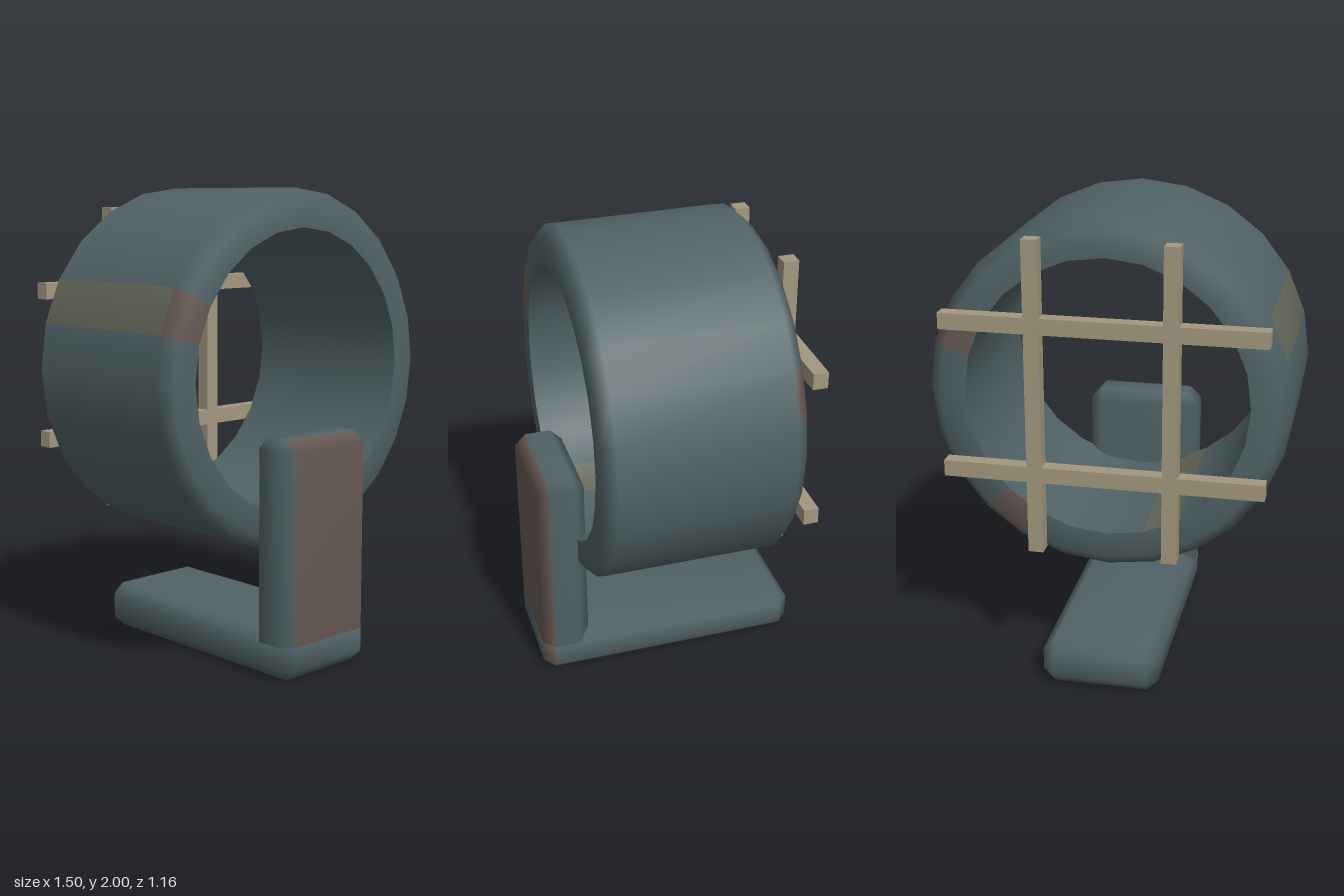
import * as THREE from 'three';

const material = (name, color) => Object.assign(new THREE.MeshStandardMaterial({ color }), { name });

// Smooth indexed mesh from points and faces; each face is { ids, mat }
function paintedMesh(name, points, faces, materials) {
  const geometry = new THREE.BufferGeometry();
  const index = [];
  materials.forEach((_, m) => {
    const start = index.length;
    for (const { ids, mat } of faces) {
      if (mat !== m) continue;
      for (let i = 1; i < ids.length - 1; i++) index.push(ids[0], ids[i], ids[i + 1]);
    }
    if (index.length > start) geometry.addGroup(start, index.length - start, m);
  });
  geometry.setAttribute('position', new THREE.Float32BufferAttribute(points.flatMap(p => p.toArray()), 3));
  geometry.setIndex(index);
  geometry.computeVertexNormals();
  const mesh = new THREE.Mesh(geometry, materials);
  mesh.name = name;
  return mesh;
}

// Box with every edge chamfered; paint(x, y, z) picks a material by face direction
function chamferedBox(name, size, chamfer, materials, paint) {
  const points = [], tags = [], faces = [];
  const signs = [-1, 1];
  for (const x of signs) for (const y of signs) for (const z of signs) for (let axis = 0; axis < 3; axis++) {
    const corner = [x, y, z];
    points.push(new THREE.Vector3(...corner.map((s, a) => s * (size[a] / 2 - (a === axis ? 0 : chamfer)))));
    tags.push({ corner, axis });
  }
  const steps = [-1, 0, 1];
  for (const x of steps) for (const y of steps) for (const z of steps) {
    const dir = [x, y, z];
    if (!x && !y && !z) continue;
    const ids = points.map((_, i) => i).filter(i =>
      dir[tags[i].axis] !== 0 && dir.every((d, a) => d === 0 || d === tags[i].corner[a]));
    // Sort the corners counter-clockwise around the face normal
    const normal = new THREE.Vector3(...dir).normalize();
    const centre = ids.reduce((sum, i) => sum.add(points[i]), new THREE.Vector3()).divideScalar(ids.length);
    const u = points[ids[0]].clone().sub(centre).projectOnPlane(normal).normalize();
    const v = normal.clone().cross(u);
    const angle = i => {
      const p = points[i].clone().sub(centre);
      return Math.atan2(p.dot(v), p.dot(u));
    };
    ids.sort((a, b) => angle(a) - angle(b));
    faces.push({ ids, mat: paint(x, y, z) });
  }
  return paintedMesh(name, points, faces, materials);
}

// Surface swept round the z axis from [radius, z] points; paint(band, segment) picks a material
function sweptRing(name, profile, segments, materials, paint) {
  const points = [], faces = [];
  profile.forEach(([r, z], i) => {
    for (let j = 0; j < segments; j++) {
      const a = j / segments * Math.PI * 2;
      points.push(new THREE.Vector3(r * Math.cos(a), r * Math.sin(a), z));
      const k = (j + 1) % segments, row = i * segments, next = row + segments;
      if (i < profile.length - 1) faces.push({ ids: [row + j, next + j, next + k, row + k], mat: paint(i, j) });
    }
  });
  return paintedMesh(name, points, faces, materials);
}

export function createModel() {
  const model = new THREE.Group();
  model.name = 'ringOnStand';
  const slate = material('slate', 0x506266);
  const brown = material('brown', 0x675954);
  const olive = material('olive', 0x636658);
  const tan = material('tan', 0xa3977e);
  const palette = [slate, brown, olive];

  // Drum ring: chamfered outer shell and plain inner wall, with a few painted panels
  const ring = new THREE.Group();
  ring.name = 'ring';
  ring.position.y = 1.25;
  const shellProfile = [[0.59, 0.415], [0.7, 0.415], [0.75, 0.365], [0.75, -0.365], [0.7, -0.415], [0.59, -0.415]];
  ring.add(sweptRing('ringShell', shellProfile, 24, palette, (band, j) => {
    if (band < 2) return j === 10 ? 1 : 0;
    if (band === 2) return j === 10 ? 2 : 0;
    return j === 1 || j === 20 ? 1 : 0;
  }));
  ring.add(sweptRing('ringInnerWall', [[0.59, -0.415], [0.59, 0.415]], 24, palette, (_, j) => (j === 16 ? 2 : 0)));
  model.add(ring);

  // Stand: flat foot and upright with a painted front
  const foot = chamferedBox('foot', [0.5, 0.2, 1.16], 0.05, palette,
    (x, y, z) => (x === 1 && y === 0 && z === 1 ? 1 : 0));
  foot.position.y = 0.1;
  const upright = chamferedBox('upright', [0.5, 0.9, 0.21], 0.05, palette,
    (x, y, z) => (z === 1 && x >= 0 && y >= 0 ? 1 : 0));
  upright.position.set(0, 0.55, 0.475);
  model.add(foot, upright);

  // Lattice of two upright and two level bars behind the ring
  const lattice = new THREE.Group();
  lattice.name = 'lattice';
  lattice.position.set(0, 1.253, -0.468);
  for (const side of [-1, 1]) {
    const post = new THREE.Mesh(new THREE.BoxGeometry(0.064, 1.33, 0.064), tan);
    post.name = 'latticePost';
    post.position.x = side * 0.281;
    const rail = new THREE.Mesh(new THREE.BoxGeometry(1.33, 0.068, 0.063), tan);
    rail.name = 'latticeRail';
    rail.position.y = side * 0.317;
    lattice.add(post, rail);
  }
  model.add(lattice);
  return model;
}
